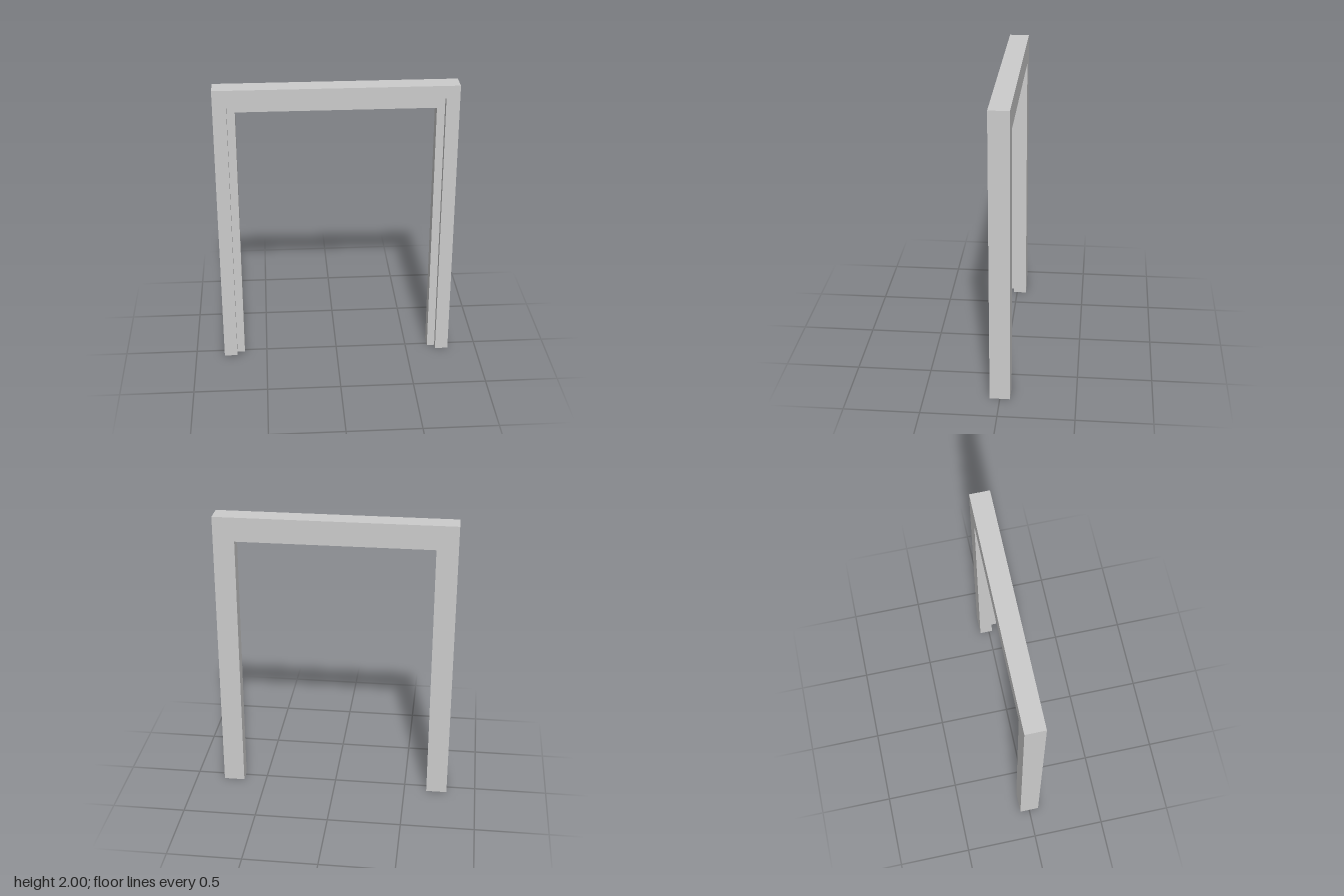
import * as THREE from 'three';

const HALF_WIDTH = 0.8, HEIGHT = 2, HALF_DEPTH = 0.067;
const STEP_Z = 0.024; // front of the door stop, set back from the frame front

// Rebated section: inset on the jambs, inset under the head, and z
const SECTION = [
  [0, 0, -HALF_DEPTH],
  [0, 0, HALF_DEPTH],
  [0.09, 0.085, HALF_DEPTH],
  [0.09, 0.085, STEP_Z],
  [0.143, 0.165, STEP_Z],
  [0.143, 0.165, -HALF_DEPTH],
];

// Stations along the frame: foot, mitred corner, mitred corner, foot
const STATIONS = [[-1, false], [-1, true], [1, true], [1, false]];

function frameGeometry() {
  const rings = STATIONS.map(([side, top]) =>
    SECTION.map(([jamb, head, z]) => [side * (HALF_WIDTH - jamb), top ? HEIGHT - head : 0, z]));
  const positions = [];
  const tri = (a, b, c) => positions.push(...a, ...b, ...c);

  // Long faces of both jambs and the head
  for (let s = 0; s < rings.length - 1; s++) {
    const r0 = rings[s], r1 = rings[s + 1];
    for (let i = 0; i < r0.length; i++) {
      const j = (i + 1) % r0.length;
      tri(r0[i], r0[j], r1[j]);
      tri(r0[i], r1[j], r1[i]);
    }
  }

  // Feet, fanned from the inner corner of the rebate
  const first = rings[0], last = rings[rings.length - 1];
  for (const [i, j] of [[4, 5], [5, 0], [0, 1], [1, 2]]) {
    tri(first[3], first[j], first[i]);
    tri(last[3], last[i], last[j]);
  }

  const geometry = new THREE.BufferGeometry();
  geometry.setAttribute('position', new THREE.Float32BufferAttribute(positions, 3));
  geometry.computeVertexNormals();
  return geometry;
}

export function createModel() {
  const group = new THREE.Group();
  group.name = 'doorway';
  const material = new THREE.MeshStandardMaterial({ color: 0xcccccc, flatShading: true });
  const frame = new THREE.Mesh(frameGeometry(), material);
  frame.name = 'doorFrame';
  group.add(frame);
  return group;
}
